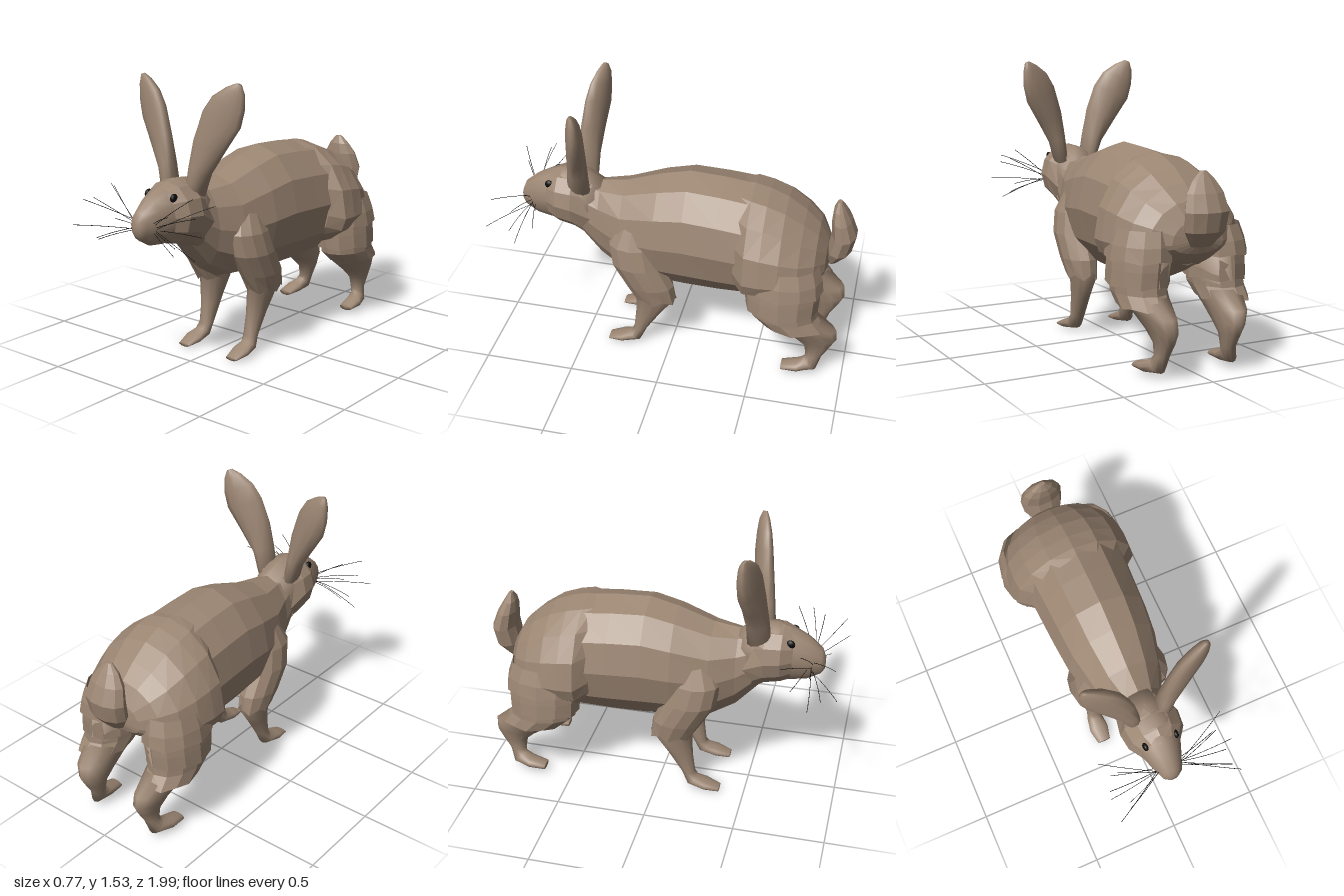
import * as THREE from 'three';

const fur = new THREE.MeshStandardMaterial({ color: 0x9c8673, side: THREE.DoubleSide });
fur.name = 'brown fur';
const black = new THREE.MeshStandardMaterial({ color: 0x0c0a09 });
black.name = 'black';

// Skin a list of elliptical rings { c: centre, u, v: half axes }.
// jag pulls alternate points of the last ring back, for a ragged fur edge;
// cup flattens the +v side, for a hollow ear or a flat underside.
function loft(rings, { sides = 12, flat = false, jag = 0, cup = 1, caps = true } = {}) {
  const pos = [], idx = [];
  rings.forEach(({ c, u, v }, i) => {
    for (let j = 0; j < sides; j++) {
      const a = (j / sides) * Math.PI * 2, s = Math.sin(a);
      const p = c.clone().addScaledVector(u, Math.cos(a)).addScaledVector(v, s > 0 ? s * cup : s);
      if (jag && i === rings.length - 1 && j % 2) p.addScaledVector(rings[i - 1].c.clone().sub(c), jag);
      pos.push(p.x, p.y, p.z);
    }
  });
  const { c, u, v } = rings[0];
  const flip = u.clone().cross(v).dot(rings[1].c.clone().sub(c)) < 0;
  const tri = (a, b, d) => (flip ? idx.push(a, d, b) : idx.push(a, b, d));
  const n = rings.length;
  for (let i = 0; i < n - 1; i++) {
    for (let j = 0; j < sides; j++) {
      const k = (j + 1) % sides, a = i * sides;
      tri(a + j, a + k, a + sides + j);
      tri(a + k, a + sides + k, a + sides + j);
    }
  }
  if (caps) {
    const first = pos.length / 3, last = first + 1, e = (n - 1) * sides;
    pos.push(...rings[0].c.toArray(), ...rings[n - 1].c.toArray());
    for (let j = 0; j < sides; j++) {
      const k = (j + 1) % sides;
      tri(first, k, j);
      tri(last, e + j, e + k);
    }
  }
  let g = new THREE.BufferGeometry();
  g.setAttribute('position', new THREE.Float32BufferAttribute(pos, 3));
  g.setIndex(idx);
  if (flat) g = g.toNonIndexed();
  g.computeVertexNormals();
  return g;
}

const V = (x, y, z) => new THREE.Vector3(x, y, z);

// Rings across the body: [z, top, bottom, half width]
const across = (rows) => rows.map(([z, t, b, w]) => ({
  c: V(0, (t + b) / 2, z), u: V(w, 0, 0), v: V(0, (t - b) / 2, 0),
}));

// Rings down a limb: [x, y, z, half width, half depth, tilt in degrees]
const down = (rows, side) => rows.map(([x, y, z, w, d, tilt = 0]) => {
  const t = THREE.MathUtils.degToRad(tilt);
  return { c: V(x * side, y, z), u: V(w, 0, 0), v: V(0, Math.sin(t) * d, Math.cos(t) * d) };
});

export function createModel() {
  const model = new THREE.Group();
  const add = (name, geometry, material = fur) => {
    const m = new THREE.Mesh(geometry, material);
    m.name = name;
    model.add(m);
    return m;
  };

  // Trunk and neck
  add('body', loft(across([
    [0.66, 0.93, 0.74, 0.07], [0.55, 0.98, 0.66, 0.12], [0.42, 0.98, 0.51, 0.15],
    [0.28, 1.0, 0.43, 0.215], [0.08, 1.07, 0.41, 0.265], [-0.08, 1.11, 0.4, 0.28],
    [-0.27, 1.1, 0.4, 0.29], [-0.45, 1.08, 0.41, 0.3], [-0.6, 1.0, 0.46, 0.29],
    [-0.75, 0.88, 0.54, 0.22],
  ]), { flat: true }));

  // Broad rump over the haunches: [z, top, widest height, half width]
  add('rump', loft([
    [-0.37, 1.085, 0.68, 0.29], [-0.435, 1.085, 0.66, 0.365], [-0.52, 1.065, 0.66, 0.37],
    [-0.62, 1.025, 0.66, 0.36], [-0.72, 0.955, 0.66, 0.32], [-0.8, 0.88, 0.67, 0.25],
    [-0.85, 0.79, 0.67, 0.15], [-0.865, 0.73, 0.68, 0.05],
  ].map(([z, t, m, w]) => ({ c: V(0, m, z), u: V(w, 0, 0), v: V(0, m - t, 0) })),
  { sides: 16, flat: true, cup: 0.45 }));

  // Head, with a ragged ruff at the jaw
  add('head', loft(across([
    [0.89, 0.86, 0.79, 0.025], [0.87, 0.91, 0.76, 0.055], [0.8, 0.97, 0.72, 0.085],
    [0.72, 1.01, 0.71, 0.115], [0.62, 1.04, 0.71, 0.145], [0.52, 1.03, 0.7, 0.14],
    [0.42, 0.98, 0.64, 0.11],
  ])));
  add('cheekRuff', loft(across([
    [0.73, 1.005, 0.72, 0.108], [0.66, 1.03, 0.7, 0.16], [0.57, 1.035, 0.68, 0.17],
    [0.46, 1.0, 0.6, 0.145],
  ]), { flat: true, jag: 0.5, caps: false }));

  // Upright tail
  add('tail', loft(down([
    [0, 0.66, -0.875, 0.06, 0.035], [0, 0.74, -0.91, 0.115, 0.07], [0, 0.84, -0.93, 0.125, 0.07],
    [0, 0.93, -0.91, 0.105, 0.055], [0, 0.99, -0.895, 0.065, 0.035], [0, 1.035, -0.89, 0.02, 0.012],
  ], 1), { sides: 10, flat: true }));

  for (const side of [1, -1]) {
    const tag = side > 0 ? 'left' : 'right';

    // Long cupped ears
    add(tag + 'Ear', loft([
      [0.085, 0.95, 0.55, 0.04, 0.08], [0.115, 1.08, 0.54, 0.055, 0.072],
      [0.165, 1.21, 0.525, 0.085, 0.066], [0.23, 1.345, 0.505, 0.106, 0.06],
      [0.268, 1.43, 0.495, 0.09, 0.05], [0.305, 1.495, 0.485, 0.05, 0.035],
      [0.325, 1.53, 0.48, 0.015, 0.015],
    ].map(([x, y, z, w, d]) => ({
      c: V(x * side, y, z), u: V(0.92 * w * side, -0.4 * w, -0.25 * w), v: V(0, 0, d),
    })), { cup: 0.65 }));

    // Eyes
    const eye = add(tag + 'Eye', new THREE.SphereGeometry(0.025, 12, 8), black);
    eye.position.set(0.087 * side, 0.96, 0.705);
    eye.scale.x = 0.6;

    // Front legs, paws and shoulder fur
    add(tag + 'FrontLeg', loft(down([
      [0.16, 0.7, 0.2, 0.07, 0.11], [0.18, 0.58, 0.19, 0.085, 0.13], [0.175, 0.46, 0.12, 0.08, 0.13],
      [0.17, 0.36, 0.08, 0.065, 0.118], [0.163, 0.22, 0.132, 0.05, 0.07],
      [0.16, 0.1, 0.178, 0.042, 0.038], [0.167, 0.05, 0.205, 0.045, 0.04, 45],
      [0.17, 0.032, 0.28, 0.056, 0.027, 90], [0.17, 0.014, 0.36, 0.038, 0.012, 90],
    ], side)));
    add(tag + 'ShoulderFur', loft(down([
      [0.14, 0.82, 0.2, 0.07, 0.09], [0.165, 0.7, 0.21, 0.1, 0.14], [0.18, 0.58, 0.185, 0.105, 0.145],
      [0.183, 0.45, 0.115, 0.095, 0.14], [0.18, 0.34, 0.075, 0.08, 0.118],
    ], side), { flat: true, jag: 0.25, caps: false }));

    // Hind legs and feet
    add(tag + 'HindLeg', loft(down([
      [0.2, 0.6, -0.64, 0.14, 0.2], [0.22, 0.42, -0.655, 0.12, 0.18],
      [0.205, 0.32, -0.775, 0.085, 0.175], [0.195, 0.25, -0.83, 0.066, 0.125],
      [0.192, 0.19, -0.85, 0.05, 0.074], [0.195, 0.12, -0.835, 0.038, 0.046],
      [0.21, 0.07, -0.82, 0.042, 0.05, 45], [0.225, 0.052, -0.75, 0.052, 0.032, 90],
      [0.228, 0.04, -0.66, 0.042, 0.018, 90],
    ], side)));

    // Haunch fur in overlapping ragged tiers
    const tiers = [
      [[0.2, 0.74, -0.635, 0.14, 0.19], [0.213, 0.66, -0.638, 0.155, 0.212], [0.22, 0.58, -0.64, 0.163, 0.22]],
      [[0.21, 0.66, -0.64, 0.15, 0.205], [0.225, 0.54, -0.64, 0.148, 0.205], [0.228, 0.45, -0.64, 0.152, 0.2]],
      [[0.225, 0.52, -0.645, 0.135, 0.19], [0.228, 0.42, -0.655, 0.133, 0.188], [0.232, 0.35, -0.72, 0.126, 0.172]],
    ];
    tiers.forEach((rows, i) => add(tag + 'HaunchFur' + (i + 1),
      loft(down(rows, side), { flat: true, jag: 0.15, caps: false })));

    // Whiskers: root then tip
    const whiskers = [
      [0.07, 0.82, 0.82, 0.35, 0.96, 0.69], [0.07, 0.83, 0.82, 0.35, 0.925, 0.84],
      [0.065, 0.84, 0.83, 0.28, 1.0, 0.78], [0.07, 0.8, 0.82, 0.35, 0.81, 0.99],
      [0.07, 0.81, 0.82, 0.34, 0.71, 0.84], [0.065, 0.8, 0.83, 0.26, 0.73, 0.9],
      [0.06, 0.85, 0.83, 0.29, 0.95, 0.97], [0.07, 0.81, 0.8, 0.3, 0.8, 0.74],
    ];
    whiskers.forEach(([x, y, z, tx, ty, tz], i) => {
      const curve = new THREE.QuadraticBezierCurve3(
        V(x * side, y, z), V(side * (x + tx) * 0.5, (y + ty) / 2 + 0.01, (z + tz) / 2 + 0.01), V(tx * side, ty, tz));
      add(tag + 'Whisker' + (i + 1), new THREE.TubeGeometry(curve, 6, 0.0015, 4), black);
    });
  }
  return model;
}
